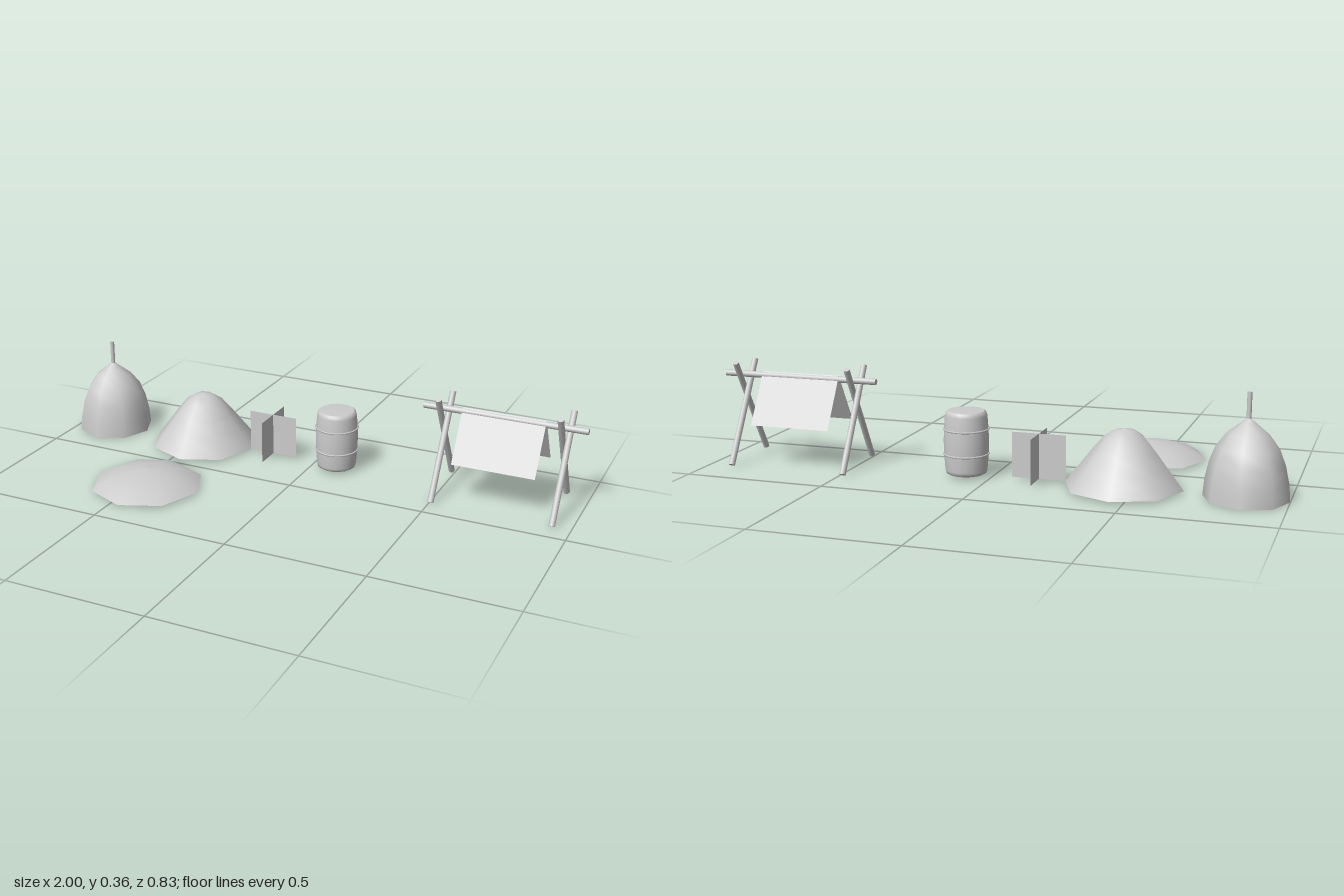
import * as THREE from 'three';

const material = new THREE.MeshStandardMaterial({ color: 0xcccccc, side: THREE.DoubleSide });
const ROW_Z = -0.215;

function addMesh(parent, name, geometry, x = 0, y = 0, z = 0) {
  const mesh = new THREE.Mesh(geometry, material);
  mesh.name = name;
  mesh.position.set(x, y, z);
  parent.add(mesh);
  return mesh;
}

// Surface of revolution from [radius, height] pairs, bottom to top
function lathe(profile, sides) {
  return new THREE.LatheGeometry(profile.map(([r, y]) => new THREE.Vector2(r, y)), sides);
}

// Round pole between two points
function addPole(parent, name, from, to, radius) {
  const a = new THREE.Vector3(...from);
  const b = new THREE.Vector3(...to);
  const dir = b.clone().sub(a);
  const pole = addMesh(parent, name, new THREE.CylinderGeometry(radius, radius, dir.length(), 10));
  pole.position.copy(a).add(b).multiplyScalar(0.5);
  pole.quaternion.setFromUnitVectors(new THREE.Vector3(0, 1, 0), dir.normalize());
}

function makeHaystack() {
  const group = new THREE.Group();
  group.name = 'haystack';
  addMesh(group, 'strawCone', lathe(
    [[0.14, 0.003], [0.135, 0.06], [0.122, 0.12], [0.102, 0.172], [0.068, 0.218], [0.025, 0.252], [0.006, 0.268]], 8));
  addPole(group, 'haystackPole', [0, 0.24, 0], [0, 0.352, 0], 0.008);
  group.position.set(-0.86, 0, ROW_Z);
  return group;
}

function makeBarrel() {
  const group = new THREE.Group();
  group.name = 'barrel';
  // Bulging staves with rounded rims
  addMesh(group, 'barrelStaves', lathe(
    [[0.062, 0.01], [0.069, 0.014], [0.072, 0.025], [0.076, 0.075], [0.077, 0.12],
      [0.076, 0.165], [0.072, 0.213], [0.069, 0.224], [0.062, 0.229]], 20));
  // Slightly domed ends
  addMesh(group, 'barrelTop', lathe([[0.062, 0.229], [0, 0.231]], 20));
  addMesh(group, 'barrelBottom', lathe([[0, 0.008], [0.062, 0.01]], 20));
  for (const y of [0.08, 0.166]) {
    const hoop = addMesh(group, 'barrelHoop', new THREE.TorusGeometry(0.077, 0.0035, 6, 20), 0, y, 0);
    hoop.rotation.x = Math.PI / 2;
  }
  group.position.set(0.09, 0, ROW_Z);
  return group;
}

function makeRack() {
  const group = new THREE.Group();
  group.name = 'dryingRack';
  // Two crossed poles at each end, side by side along x
  for (const [backX, frontX] of [[0.487, 0.507], [0.913, 0.935]]) {
    addPole(group, 'rackLeg', [backX, 0.007, -0.145], [backX, 0.353, 0.05], 0.011);
    addPole(group, 'rackLeg', [frontX, 0.007, 0.145], [frontX, 0.353, -0.05], 0.011);
  }
  addPole(group, 'rackCrossbar', [0.42, 0.306, 0], [1, 0.306, 0], 0.011);
  // Cloth hanging in two flat sheets from the ridge
  const drop = 0.176;
  const spread = 0.102;
  for (const side of [1, -1]) {
    const sheet = addMesh(group, 'cloth',
      new THREE.PlaneGeometry(0.295, Math.hypot(drop, spread)), 0.708, 0.32 - drop / 2, side * spread / 2);
    sheet.rotation.y = side > 0 ? 0 : Math.PI;
    sheet.rotateX(-Math.atan2(spread, drop));
  }
  group.position.z = ROW_Z;
  return group;
}

export function createModel() {
  const model = new THREE.Group();
  model.name = 'farmProps';
  model.add(makeHaystack());

  // Tall pile and low mound, both open below
  addMesh(model, 'tallPile', lathe(
    [[0.2, 0.01], [0.148, 0.078], [0.108, 0.13], [0.07, 0.176], [0.035, 0.199], [0, 0.206]], 8), -0.46, 0, ROW_Z);
  addMesh(model, 'lowMound', lathe(
    [[0.2, 0.01], [0.15, 0.039], [0.1, 0.053], [0.05, 0.064], [0, 0.068]], 8), -0.46, 0, -ROW_Z);

  // Tuft made of two crossed sheets
  const tuft = new THREE.Group();
  tuft.name = 'grassTuft';
  for (const angle of [0, Math.PI / 2]) {
    addMesh(tuft, 'tuftSheet', new THREE.PlaneGeometry(0.188, 0.156)).rotation.y = angle;
  }
  tuft.position.set(-0.168, 0.088, ROW_Z);
  model.add(tuft);

  model.add(makeBarrel(), makeRack());
  return model;
}
